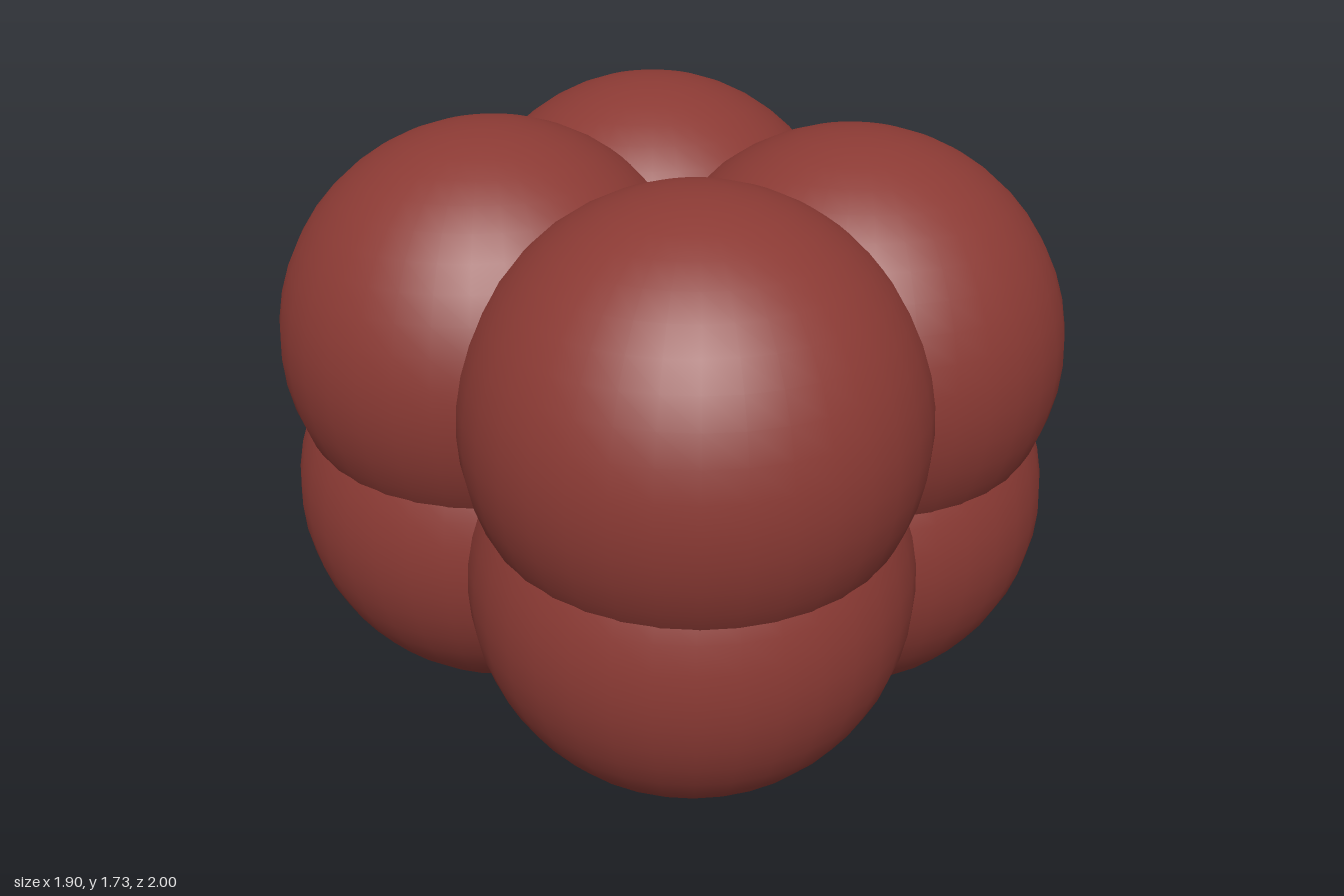
import * as THREE from 'three';

export function createModel() {
  const group = new THREE.Group();
  group.name = 'sphereCluster';
  const material = new THREE.MeshStandardMaterial({ color: 0x8b3a34 });
  const geometry = new THREE.SphereGeometry(0.6, 36, 24);

  // Half-edges of the slightly tilted box whose corners hold the spheres
  const centre = new THREE.Vector3(0, 0.873, 0);
  const across = new THREE.Vector3(0.32, 0.01, 0.017);
  const up = new THREE.Vector3(-0.014, 0.238, 0.015);
  const forward = new THREE.Vector3(-0.015, -0.019, 0.368);

  // One overlapping sphere per corner
  for (const x of [-1, 1]) for (const y of [-1, 1]) for (const z of [-1, 1]) {
    const sphere = new THREE.Mesh(geometry, material);
    sphere.name = (y > 0 ? 'upper' : 'lower') + (z > 0 ? 'Front' : 'Back') + (x > 0 ? 'Left' : 'Right') + 'Sphere';
    sphere.position.copy(centre)
      .addScaledVector(across, x)
      .addScaledVector(up, y)
      .addScaledVector(forward, z);
    group.add(sphere);
  }
  return group;
}
